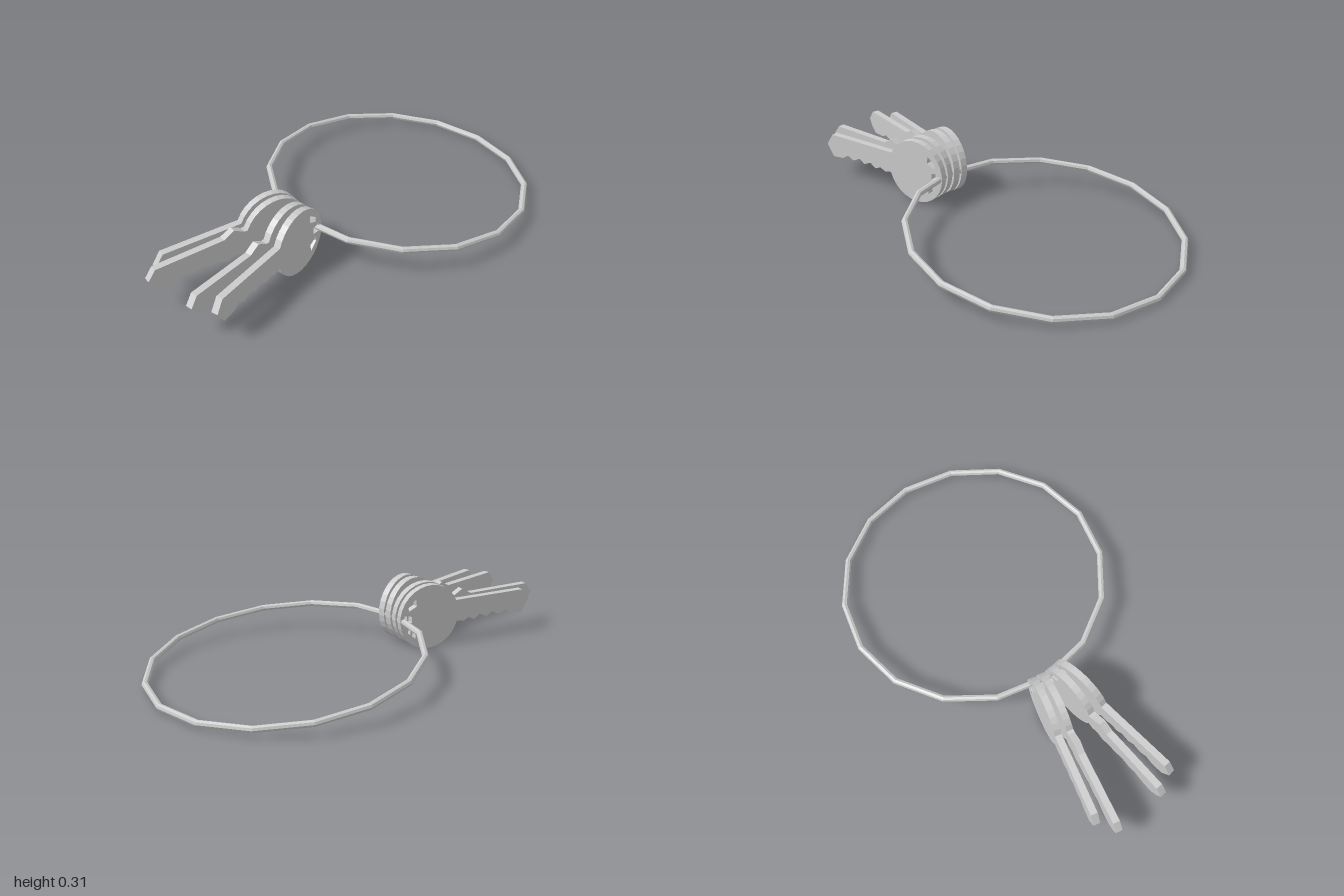
import * as THREE from 'three';

const R = 0.157;       // head radius, also the height of the key axis
const THICK = 0.032;

// Closed polygon hole from points measured along and across the key
function hole(points) {
  return new THREE.Path(points.map(([u, v]) => new THREE.Vector2(u, v)));
}

// Key profile: round head centred at the origin, blade towards +x
function keyShape(blade) {
  const pts = [];
  const start = Math.asin(0.063 / R), end = 2 * Math.PI - Math.asin(0.042 / R), n = 26;
  for (let i = 0; i <= n; i++) {
    const a = start + (end - start) * i / n;
    pts.push(new THREE.Vector2(R * Math.cos(a), R * Math.sin(a)));
  }
  blade.forEach(([u, v]) => pts.push(new THREE.Vector2(u, v)));
  const shape = new THREE.Shape(pts);
  // Two triangular windows and a middle slot for the ring
  for (const s of [1, -1]) {
    shape.holes.push(hole([[-0.07, 0.062 * s], [-0.075, 0.098 * s], [-0.115, 0.066 * s], [-0.112, 0.042 * s]]));
  }
  shape.holes.push(hole([[-0.135, -0.022], [-0.095, -0.015], [-0.095, 0.015], [-0.135, 0.022]]));
  return shape;
}

// Blade outlines, lower edge to tip and back along the top
const shortBlade = [
  [0.19, -0.05], [0.215, -0.035], [0.25, -0.05], [0.28, -0.028], [0.32, -0.045],
  [0.35, -0.025], [0.39, -0.045], [0.425, -0.028], [0.46, -0.05], [0.52, -0.055],
  [0.557, 0.005], [0.52, 0.063],
];
const longBlade = [
  [0.18, -0.055], [0.21, -0.04], [0.25, -0.058], [0.29, -0.04], [0.33, -0.045],
  [0.37, -0.025], [0.42, -0.04], [0.46, -0.028], [0.5, -0.045], [0.565, -0.05],
  [0.6, -0.02], [0.62, 0.015], [0.585, 0.063], [0.26, 0.063], [0.21, 0.092], [0.16, 0.063],
];

export function createModel() {
  const group = new THREE.Group();
  const metal = new THREE.MeshStandardMaterial({ color: 0xcccccc, flatShading: true });

  // Large ring, raised at the front where it carries the keys
  const ring = new THREE.Mesh(new THREE.TorusGeometry(0.62, 0.015, 8, 16), metal);
  ring.name = 'ring';
  ring.rotation.x = Math.PI / 2 - 0.108;
  ring.position.set(0, 0.087, -0.37);
  group.add(ring);

  // Keys fanned out: name, blade, rear end and tip as [x, z]
  const keys = [
    ['outerRightKey', shortBlade, [-0.066, 0.215], [-0.198, 0.915]],
    ['innerRightKey', longBlade, [-0.022, 0.22], [-0.138, 0.995]],
    ['innerLeftKey', longBlade, [0.022, 0.22], [0.114, 0.972]],
    ['outerLeftKey', shortBlade, [0.066, 0.215], [0.204, 0.915]],
  ];
  for (const [name, blade, [x0, z0], [x1, z1]] of keys) {
    const geo = new THREE.ExtrudeGeometry(keyShape(blade), { depth: THICK, bevelEnabled: false });
    geo.translate(R, 0, -THICK / 2);
    const key = new THREE.Mesh(geo, metal);
    key.name = name;
    key.position.set(x0, R, z0);
    key.rotation.y = Math.atan2(-(z1 - z0), x1 - x0);
    // Stretch the key to its own length
    key.scale.x = Math.hypot(x1 - x0, z1 - z0) / (R + Math.max(...blade.map((p) => p[0])));
    group.add(key);
  }
  return group;
}
